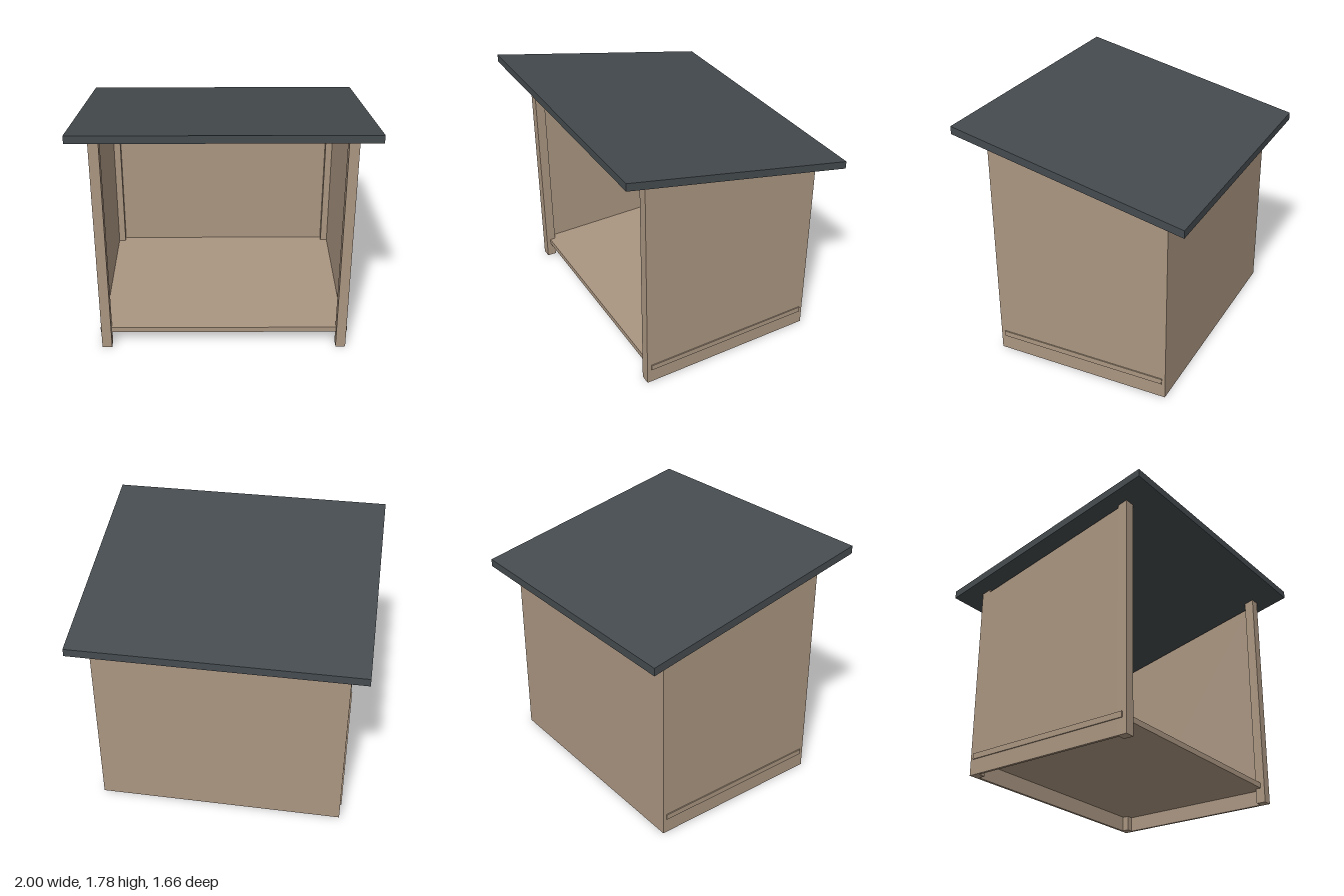
import * as THREE from 'three';

// Underside of the sloping roof at depth z
const roofY = (z) => 1.543 + 0.2139 * z;

// Extrudes a [z, y] profile across x from x0 to x1
function slab(name, profile, x0, x1, material) {
  const shape = new THREE.Shape(profile.map(([z, y]) => new THREE.Vector2(z, y)));
  const geometry = new THREE.ExtrudeGeometry(shape, { depth: x1 - x0, bevelEnabled: false });
  geometry.rotateY(-Math.PI / 2).translate(x1, 0, 0);
  const mesh = new THREE.Mesh(geometry, material);
  mesh.name = name;
  return mesh;
}

// Upright profile whose top follows the roof, lowered by gap
const upright = (z0, z1, gap) => [
  [z0, 0], [z1, 0], [z1, roofY(z1) - gap], [z0, roofY(z0) - gap],
];

const rect = (z0, z1, y0, y1) => [[z0, y0], [z1, y0], [z1, y1], [z0, y1]];

export function createModel() {
  const wood = new THREE.MeshStandardMaterial({ color: 0xab9681 });
  wood.name = 'wood';
  const roofing = new THREE.MeshStandardMaterial({ color: 0x454b4f });
  roofing.name = 'dark roofing';

  const group = new THREE.Group();
  group.name = 'shelter';

  // Corner posts and side walls, mirrored
  for (const [side, s] of [['left', 1], ['right', -1]]) {
    const add = (name, profile, inner, outer) =>
      group.add(slab(side + name, profile, Math.min(s * inner, s * outer), Math.max(s * inner, s * outer), wood));
    add('FrontPost', upright(0.57, 0.64, 0.001), 0.81, 0.88);
    add('BackPost', upright(-0.67, -0.6, 0.001), 0.81, 0.88);
    add('SideWall', upright(-0.6, 0.57, 0.022), 0.86, 0.88);
  }

  // Back wall between the rear posts
  group.add(slab('backWall', rect(-0.67, -0.65, 0, 1.38), -0.81, 0.81, wood));

  // Raised floor, its edges just showing through the side walls
  group.add(slab('floor', rect(-0.645, 0.61, 0.11, 0.15), -0.888, 0.888, wood));

  // Sloping roof with plumb ends
  const t = 0.055, d = 0.83;
  group.add(slab('roof', [
    [-d, roofY(-d)], [d, roofY(d)], [d, roofY(d) + t], [-d, roofY(-d) + t],
  ], -1, 1, roofing));

  return group;
}
